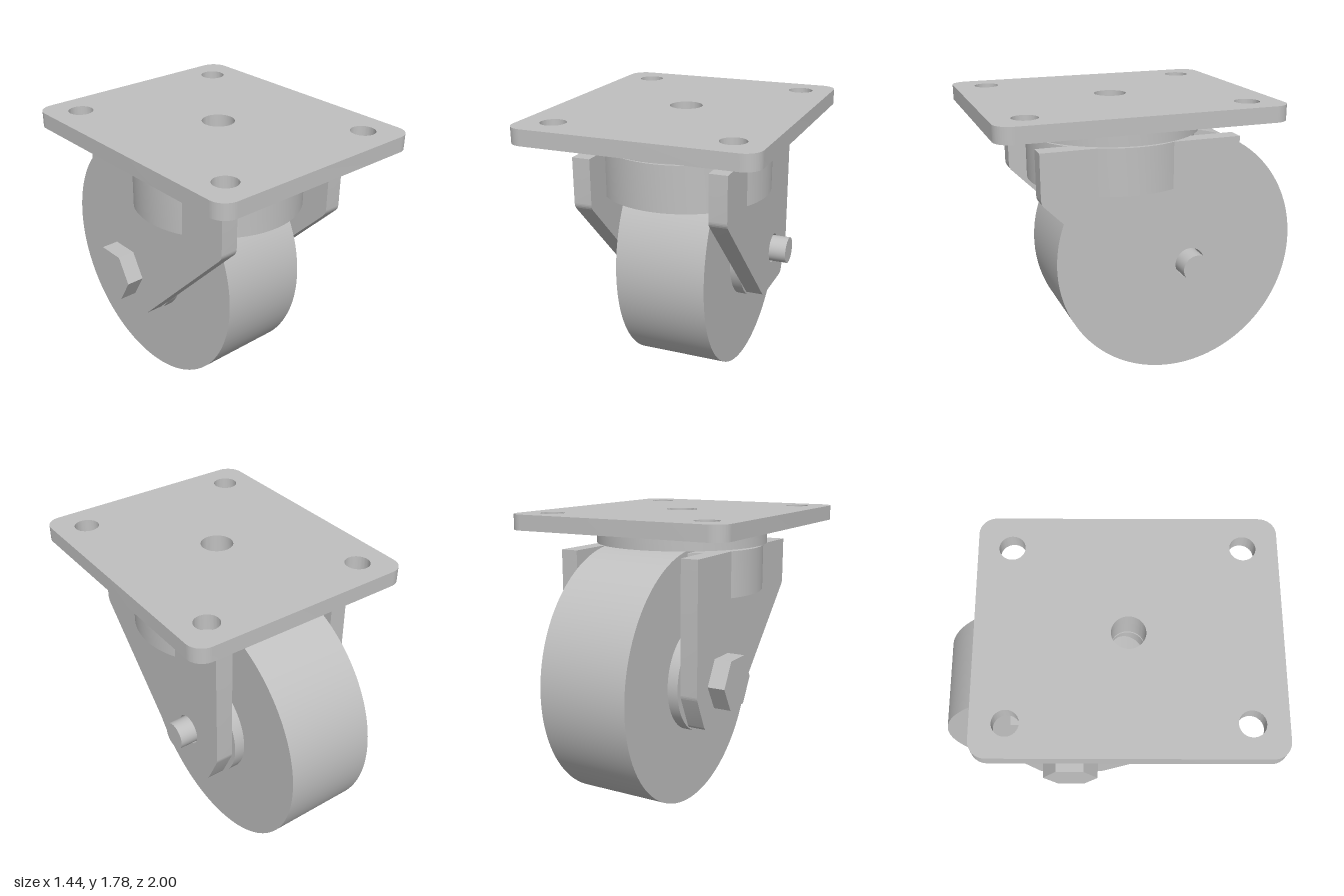
import * as THREE from 'three';
import { toCreasedNormals } from 'three/addons/utils/BufferGeometryUtils.js';

const AXLE_Y = 0.793, AXLE_Z = -0.207; // wheel axis
const SWIVEL_Z = 0.143; // swivel axis

export function createModel() {
  const group = new THREE.Group();
  group.name = 'swivelCaster';
  const steel = new THREE.MeshStandardMaterial({ color: 0xc0c0c0 });
  steel.name = 'grey metal';

  const add = (name, geometry) => {
    const mesh = new THREE.Mesh(toCreasedNormals(geometry, 0.5), steel);
    mesh.name = name;
    group.add(mesh);
  };

  const hole = (x, y, r) => new THREE.Path().absarc(x, y, r, 0, Math.PI * 2, true);

  // Horizontal slab from a shape drawn in x and -z
  const slab = (name, shape, y0, y1) => {
    const g = new THREE.ExtrudeGeometry(shape, { depth: y1 - y0, bevelEnabled: false, curveSegments: 32 });
    add(name, g.rotateX(-Math.PI / 2).translate(0, y0, 0));
  };

  // Cylinder along x, centred on the axle
  const axial = (name, r, x0, x1, sides = 96) => {
    const g = new THREE.CylinderGeometry(r, r, x1 - x0, sides).rotateZ(Math.PI / 2);
    add(name, g.translate((x0 + x1) / 2, AXLE_Y, AXLE_Z));
  };

  // Mounting plate with rounded corners, four bolt holes and a centre hole
  const w = 0.722, back = 0.715, front = -1, r = 0.1;
  const plate = new THREE.Shape();
  plate.absarc(w - r, back - r, r, 0, Math.PI / 2);
  plate.absarc(-w + r, back - r, r, Math.PI / 2, Math.PI);
  plate.absarc(-w + r, front + r, r, Math.PI, Math.PI * 1.5);
  plate.absarc(w - r, front + r, r, Math.PI * 1.5, Math.PI * 2);
  plate.closePath();
  for (const x of [-0.527, 0.527]) {
    for (const y of [0.52, -0.8]) plate.holes.push(hole(x, y, 0.075));
  }
  plate.holes.push(hole(0, -SWIVEL_Z, 0.098));
  slab('mountingPlate', plate, 1.688, 1.783);

  // Swivel disc and fork crown, both bored through
  const ring = (radius) => {
    const s = new THREE.Shape().absarc(0, -SWIVEL_Z, radius, 0, Math.PI * 2);
    s.holes.push(hole(0, -SWIVEL_Z, 0.098));
    return s;
  };
  slab('swivelDisc', ring(0.548), 1.578, 1.688);
  slab('forkCrown', ring(0.525), 1.28, 1.565);

  // Fork legs, drawn in -z and y
  const leg = new THREE.Shape();
  leg.moveTo(-0.715, 1.565);
  leg.lineTo(-0.715, 1.295);
  leg.quadraticCurveTo(-0.715, 1.268, -0.695, 1.248);
  leg.lineTo(-0.01, 0.555);
  leg.quadraticCurveTo(0.015, 0.53, 0.05, 0.53);
  leg.lineTo(0.385, 0.53);
  leg.quadraticCurveTo(0.41, 0.53, 0.422, 0.553);
  leg.lineTo(0.508, 0.735);
  leg.quadraticCurveTo(0.515, 0.75, 0.515, 0.77);
  leg.lineTo(0.515, 1.565);
  leg.closePath();
  leg.holes.push(hole(-AXLE_Z, AXLE_Y, 0.095));
  for (const [name, x] of [['leftForkLeg', 0.36], ['rightForkLeg', -0.47]]) {
    const g = new THREE.ExtrudeGeometry(leg, { depth: 0.11, bevelEnabled: false, curveSegments: 24 });
    add(name, g.rotateY(Math.PI / 2).translate(x, 0, 0));
  }

  // Wheel, hub and axle bolt
  axial('wheel', 0.793, -0.285, 0.285, 128);
  axial('hub', 0.328, -0.352, 0.352);
  axial('axlePin', 0.085, -0.5, 0.577, 48);
  axial('hexBoltHead', 0.176, -0.58, -0.47, 6);

  return group;
}
